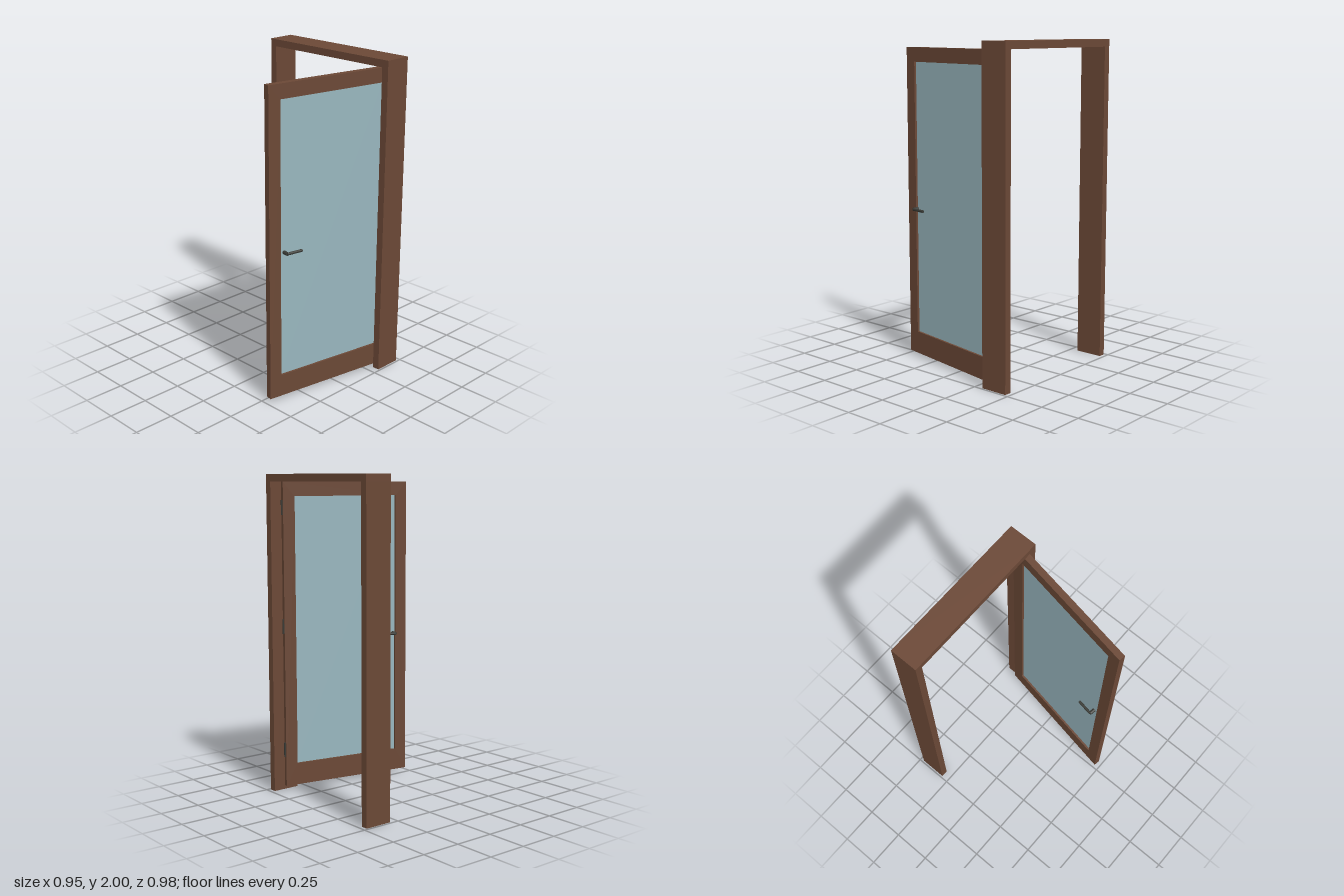
import * as THREE from 'three';

const wood = new THREE.MeshStandardMaterial({ color: 0x6b4836 });
wood.name = 'brownWood';
const glass = new THREE.MeshStandardMaterial({ color: 0x98b6be });
glass.name = 'paleGlass';
const metal = new THREE.MeshStandardMaterial({ color: 0x393a35 });
metal.name = 'darkMetal';

function add(parent, name, geometry, material, x, y, z) {
  const mesh = new THREE.Mesh(geometry, material);
  mesh.name = name;
  mesh.position.set(x, y, z);
  parent.add(mesh);
  return mesh;
}

// Rectangle outline, reversed for holes
function rect(path, x0, y0, x1, y1) {
  path.moveTo(x0, y0);
  path.lineTo(x1, y0);
  path.lineTo(x1, y1);
  path.lineTo(x0, y1);
  path.closePath();
  return path;
}

export function createModel() {
  const model = new THREE.Group();
  model.name = 'openDoor';

  // Fixed frame: two jambs and a head
  const depth = 0.175, thick = 0.045, halfSpan = 0.488, frameX = 0.3875;
  const frame = new THREE.Group();
  frame.name = 'doorFrame';
  model.add(frame);
  for (const side of [1, -1]) {
    add(frame, side > 0 ? 'hingeJamb' : 'latchJamb',
      new THREE.BoxGeometry(depth, 2 - thick, thick), wood,
      frameX, (2 - thick) / 2, side * (halfSpan - thick / 2));
  }
  add(frame, 'frameHead', new THREE.BoxGeometry(depth, thick, halfSpan * 2), wood,
    frameX, 2 - thick / 2, 0);

  // Door leaf, swung open; its hinge edge is at local x = 0
  const width = 0.883, t = 0.04, y0 = 0.025, y1 = 1.953;
  const stile = 0.079, gy0 = 0.165, gy1 = 1.865;
  const door = new THREE.Group();
  door.name = 'doorLeaf';
  door.position.set(0.4, 0, 0.418);
  door.rotation.y = THREE.MathUtils.degToRad(-10);
  model.add(door);

  const outline = rect(new THREE.Shape(), -width, y0, 0, y1);
  outline.holes.push(rect(new THREE.Path(), -width + stile, gy0, -stile, gy1));
  add(door, 'doorStilesAndRails',
    new THREE.ExtrudeGeometry(outline, { depth: t, bevelEnabled: false }), wood, 0, 0, 0);
  add(door, 'glassPane',
    new THREE.BoxGeometry(width - 2 * stile, gy1 - gy0, 0.014), glass,
    -width / 2, (gy0 + gy1) / 2, t / 2);

  // Hinge knuckles
  for (const y of [0.262, 1.055, 1.795]) {
    add(door, 'hinge', new THREE.CylinderGeometry(0.007, 0.007, 0.092, 12), metal, 0.002, y, 0.012);
  }

  // Lever handle on each face
  for (const side of [1, -1]) {
    const handle = new THREE.Group();
    handle.name = side > 0 ? 'frontHandle' : 'backHandle';
    handle.position.set(-0.783, 0.96, side > 0 ? t : 0);
    door.add(handle);
    const shank = add(handle, 'handleShank',
      new THREE.CylinderGeometry(0.0115, 0.0115, 0.036, 16), metal, 0, 0, side * 0.018);
    shank.rotation.x = Math.PI / 2;
    const lever = add(handle, 'handleLever',
      new THREE.CylinderGeometry(0.0085, 0.0085, 0.102, 16), metal, 0.051, 0, side * 0.035);
    lever.rotation.z = Math.PI / 2;
  }
  return model;
}
